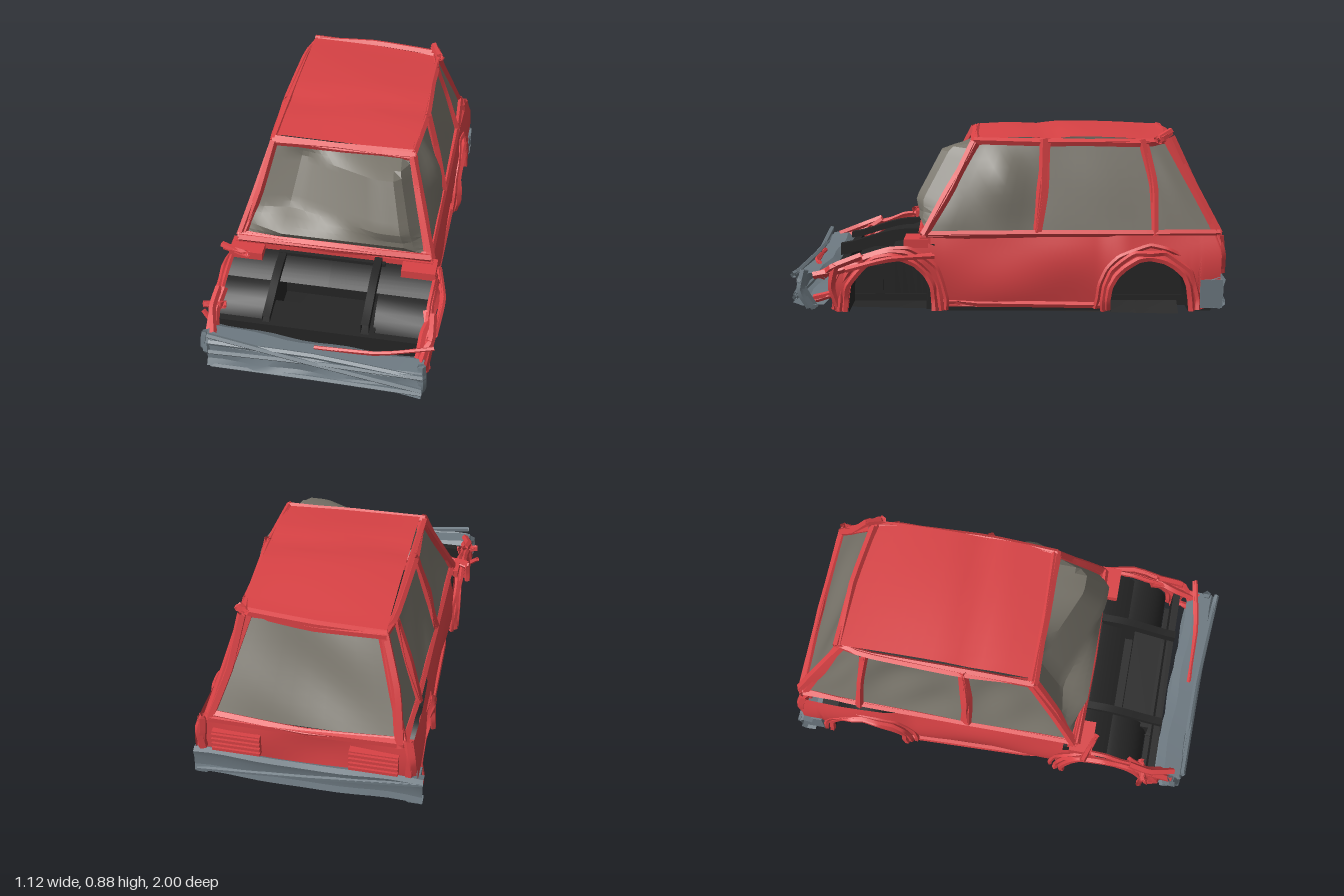
import * as THREE from 'three';
import { toCreasedNormals } from 'three/addons/utils/BufferGeometryUtils.js';

export function createModel() {
  const car = new THREE.Group();
  car.name = 'wreckedHatchback';
  const paint = (name, color) => {
    const m = new THREE.MeshStandardMaterial({ color, side: THREE.DoubleSide });
    m.name = name;
    return m;
  };
  const red = paint('redPaint', 0xd94245), glass = paint('dustyGlass', 0x78746a);
  const steel = paint('greySteel', 0x6d7981), black = paint('blackUnderbody', 0x252525);

  let seed = 7;
  const rnd = () => (seed = (seed * 16807) % 2147483647) / 2147483647 - 0.5;
  const { lerp, clamp, smoothstep } = THREE.MathUtils;
  const V = (p) => new THREE.Vector3(...p);

  const add = (name, geo, mat, crease = 0.5) => {
    const mesh = new THREE.Mesh(toCreasedNormals(geo, crease), mat);
    mesh.name = name;
    car.add(mesh);
    return mesh;
  };
  // Grid surface from a rule f(u, v) -> [x, y, z]
  const sheet = (name, mat, nu, nv, f, crease) => {
    const pos = [], idx = [];
    for (let i = 0; i <= nu; i++) for (let j = 0; j <= nv; j++) pos.push(...f(i / nu, j / nv));
    for (let i = 0; i < nu; i++) for (let j = 0; j < nv; j++) {
      const a = i * (nv + 1) + j, b = a + nv + 1;
      idx.push(a, b, a + 1, b, b + 1, a + 1);
    }
    const g = new THREE.BufferGeometry();
    g.setAttribute('position', new THREE.Float32BufferAttribute(pos, 3));
    g.setIndex(idx);
    return add(name, g, mat, crease);
  };
  // Bent metal strip along a few points, made of jittered strands
  const strip = (name, mat, pts, r = 0.02, strands = 2, jit = 0.02) => {
    for (let s = 0; s < strands; s++) {
      const p = pts.map((q) => V(q).add(new THREE.Vector3(rnd(), rnd(), rnd()).multiplyScalar(jit)));
      const curve = new THREE.CatmullRomCurve3(p, false, 'catmullrom', 0.2);
      add(name, new THREE.TubeGeometry(curve, 4 * (pts.length - 1), r, 5), mat, 0.4);
    }
  };
  const box = (name, mat, x0, x1, y0, y1, z0, z1) => {
    const g = new THREE.BoxGeometry(Math.abs(x1 - x0), y1 - y0, z1 - z0);
    g.translate((x0 + x1) / 2, (y0 + y1) / 2, (z0 + z1) / 2);
    return add(name, g, mat);
  };
  // Four-corner panel (bottom a-b, top d-c) pushed out along its normal
  const panel = (name, mat, a, b, c, d, push, n = 10) => {
    const [A, B, C, D] = [a, b, c, d].map(V);
    const normal = B.clone().sub(A).cross(D.clone().sub(A)).normalize();
    return sheet(name, mat, n, n, (u, v) => A.clone().lerp(B, u)
      .lerp(D.clone().lerp(C, u), v).addScaledVector(normal, push(u, v)).toArray());
  };

  // Wheel arches: centre z and radius
  const arches = [[0.545, 0.19], [-0.645, 0.18]];
  const lowerEdge = (z) => {
    for (const [c, r] of arches) {
      const d = Math.abs(z - c);
      if (d < r) return 0.11 + Math.sqrt(r * r - d * d);
    }
    return z < -0.875 ? 0.19 : 0.07;
  };
  const upperEdge = (z) => (z < 0.4 ? 0.405 : lerp(0.375, 0.26, clamp((z - 0.4) / 0.4, 0, 1)));

  for (const s of [-1, 1]) {
    const side = s > 0 ? 'left' : 'right';
    // Body side with wheel cut-outs
    sheet(side + 'BodySide', red, 120, 8, (u, v) => {
      const z = lerp(-0.965, 0.81, u), low = lowerEdge(z), y = lerp(low, Math.max(low, upperEdge(z)), v);
      const dent = 0.008 * Math.sin(z * 9 + s) * Math.sin(y * 14);
      const wide = 0.025 * (smoothstep(z, 0.3, 0.6) + smoothstep(-z, 0.4, 0.55));
      return [s * (0.447 + 0.033 * Math.sin(Math.PI * clamp((0.42 - y) / 0.4, 0, 1)) + dent + wide), y, z];
    }, 0.7);

    // Arch lips and inner tubs
    arches.forEach(([c, r], k) => {
      const end = k ? 'rear' : 'front';
      const arc = (rad, a) => {
        const t = Math.PI * a;
        return [0.11 + rad * Math.sin(t), c + rad * Math.cos(t)];
      };
      [[0.012, 0.5, 0.016], [0.04, 0.497, 0.014], [0.064, 0.482, 0.012]].forEach(([grow, x, t]) => {
        const pts = [];
        for (let i = 0; i <= 10; i++) {
          const [y, z] = arc(r + grow, i / 10);
          pts.push([s * x, Math.min(y, upperEdge(z) + 0.01), z]);
        }
        strip(side + end + 'ArchLip', red,
          [[s * x, 0.06, c + r + grow], ...pts, [s * x, 0.06, c - r - grow]], t, 1, 0.014);
      });
      const tubPoint = (a) => (a < 0.1 ? [0.05, c + r] : a > 0.9 ? [0.05, c - r] : arc(r, (a - 0.1) / 0.8));
      sheet(side + end + 'WheelTub', black, 20, 1, (u, v) => {
        const [y, z] = tubPoint(u);
        return [s * lerp(0.24, 0.485, v), y, z];
      }, 0.6);
      sheet(side + end + 'TubWall', black, 20, 1, (u, v) => {
        const [y, z] = tubPoint(u);
        return [s * 0.24, lerp(0.05, y, v), z];
      });
    });

    // Window frame
    const A0 = [s * 0.45, 0.4, 0.385], A1 = [s * 0.325, 0.82, 0.16];
    const B0 = [s * 0.453, 0.41, -0.14], B1 = [s * 0.34, 0.825, -0.175];
    const C0 = [s * 0.45, 0.41, -0.675], C1 = [s * 0.335, 0.82, -0.625];
    const D0 = [s * 0.435, 0.41, -0.96], D1 = [s * 0.31, 0.83, -0.735];
    strip(side + 'FrontPillar', red, [A0, [s * 0.39, 0.6, 0.28], A1], 0.02, 3, 0.025);
    strip(side + 'MiddlePillar', red, [B0, [s * 0.402, 0.6, -0.15], B1], 0.021, 3, 0.03);
    strip(side + 'DoorRearPillar', red, [C0, [s * 0.392, 0.62, -0.66], C1], 0.018, 2, 0.025);
    strip(side + 'RearPillar', red, [D0, [s * 0.373, 0.62, -0.85], D1], 0.022, 3, 0.03);
    strip(side + 'RoofRail', red, [A1, B1, C1, D1], 0.018, 2);
    strip(side + 'BeltLine', red, [A0, B0, C0, D0], 0.017, 2, 0.015);

    // Buckled side glass, pushed out on the left and in on the right
    const bulge = (k) => (u, v) => k * Math.sin(Math.PI * u) * Math.sin(Math.PI * v)
      * (1 + 0.5 * Math.sin(u * 7 + v * 5 + s));
    panel(side + 'FrontDoorGlass', glass, A0, B0, B1, A1, bulge(s > 0 ? 0.04 : 0.025));
    panel(side + 'RearDoorGlass', glass, B0, C0, C1, B1, bulge(s > 0 ? 0.005 : 0.03));
    panel(side + 'QuarterGlass', glass, C0, D0, D1, C1, bulge(0.006));

    // Cowl corner, sill and torn fender ends
    box(side + 'CowlCorner', red, s * 0.33, s * 0.49, 0.35, 0.39, 0.37, 0.48);
    strip(side + 'Sill', red, [[s * 0.465, 0.08, 0.33], [s * 0.468, 0.072, -0.44]], 0.015, 1);
    strip(side + 'TornFender', red, [[s * 0.49, 0.31, 0.66], [s * 0.5, 0.275, 0.78], [s * 0.47, 0.22, 0.88]], 0.018, 3, 0.05);
    strip(side + 'TornFender', red, [[s * 0.5, 0.27, 0.78], [s * 0.49, 0.17, 0.81], [s * 0.48, 0.07, 0.78]], 0.018, 2, 0.03);
    strip(side + 'TornFender', red, [[s * 0.47, 0.14, 0.79], [s * 0.46, 0.11, 0.9]], 0.014, 2, 0.03);

    // Tail lamp block with ribs
    box(side + 'TailLamp', red, s * 0.2, s * 0.42, 0.24, 0.345, -0.985, -0.94);
    for (let i = 0; i < 4; i++)
      box(side + 'TailLampRib', red, s * 0.2, s * 0.42, 0.245 + i * 0.026, 0.26 + i * 0.026, -0.997, -0.98);
    strip(side + 'RearCorner', red, [[s * 0.455, 0.41, -0.95], [s * 0.475, 0.33, -0.965], [s * 0.475, 0.23, -0.96]], 0.022, 2);
  }
  // Bent body shards
  strip('leftFenderShard', red, [[0.5, 0.31, 0.35], [0.54, 0.3, 0.56], [0.52, 0.26, 0.74]], 0.012, 2);
  strip('rightFenderShard', red, [[-0.45, 0.27, 0.72], [-0.54, 0.285, 0.75]], 0.016, 2);
  strip('rightFenderShard', red, [[-0.48, 0.14, 0.78], [-0.55, 0.23, 0.74]], 0.012, 1);
  strip('rightCowlShard', red, [[-0.4, 0.385, 0.49], [-0.53, 0.385, 0.44]], 0.015, 2);
  strip('rightSillShard', red, [[-0.44, 0.05, 0.3], [-0.45, 0.045, -0.1], [-0.45, 0.06, -0.42]], 0.014, 1);
  strip('noseShard', red, [[0.53, 0.29, 0.86], [0.3, 0.262, 0.9], [0, 0.25, 0.9]], 0.009, 2);

  // Sagging roof skin with header rails
  sheet('roof', red, 12, 16, (u, v) => {
    const crown = 0.025 * Math.sin(Math.PI * clamp(v * 1.05, 0, 1)) * (0.6 + 0.4 * Math.sin(Math.PI * u));
    const crease = -0.012 * Math.max(0, 1 - Math.abs(v - 0.3 - 0.1 * u) * 8);
    return [lerp(-0.315, 0.34, u), 0.84 + crown + crease - 0.014 * (u - 0.4),
      lerp(0.145, -0.745, v) + 0.06 * (u - 0.5) * v];
  }, 0.25);
  strip('frontHeader', red, [[-0.33, 0.825, 0.16], [0, 0.82, 0.165], [0.33, 0.815, 0.155]], 0.02, 3);
  strip('rearHeader', red, [[-0.31, 0.835, -0.755], [0, 0.83, -0.75], [0.31, 0.83, -0.72]], 0.019, 2);
  strip('roofShard', red, [[0.35, 0.82, -0.68], [0.3, 0.865, -0.75]], 0.016, 2);

  // Windscreen: caved in on the right, popped out of its frame on the left
  sheet('windscreen', glass, 20, 16, (u, v) => {
    const half = lerp(0.43, 0.31, v);
    const across = u < 0.22 ? lerp(0, -0.03, u / 0.22) : lerp(-0.03, 0.12, Math.min(1, (u - 0.22) / 0.55));
    const low = 0.065 * Math.min(1, u / 0.2);
    const out = lerp(low, across, smoothstep(v, 0.12, 0.35)) * Math.min(1, (1 - u) / 0.07, v / 0.12, (1 - v) / 0.1);
    return [lerp(-half, half, u), lerp(0.42, 0.81, v) + 0.1 * out, lerp(0.38, 0.17, v) + out];
  }, 0.3);
  strip('windscreenBase', red, [[-0.46, 0.405, 0.39], [0, 0.415, 0.395], [0.45, 0.41, 0.385]], 0.02, 3, 0.03);
  panel('rearGlass', glass, [0.42, 0.42, -0.95], [-0.42, 0.42, -0.95], [-0.31, 0.82, -0.74], [0.31, 0.82, -0.74],
    (u, v) => 0.022 * Math.sin(Math.PI * u) * Math.sin(Math.PI * v) * Math.sin(u * 6 + v * 3));

  // Tailgate
  sheet('tailgate', red, 16, 6, (u, v) => [lerp(-0.465, 0.465, u), lerp(0.18, 0.42, v),
    -0.955 - 0.012 * Math.sin(Math.PI * v) * Math.cos(u * 8)], 0.6);
  strip('tailgateTop', red, [[-0.44, 0.415, -0.955], [0, 0.415, -0.965], [0.44, 0.415, -0.955]], 0.02, 2);

  // Engine bay
  box('cowl', red, -0.47, 0.47, 0.365, 0.395, 0.36, 0.41);
  box('firewall', black, -0.47, 0.47, 0.06, 0.365, 0.34, 0.38);
  box('bayBar', black, -0.26, 0.25, 0.335, 0.372, 0.4, 0.43);
  sheet('bayShelf', black, 2, 8, (u, v) => [lerp(-0.48, 0.48, u), 0.2 + 0.16 * Math.cos(v * 0.9), 0.39 + 0.165 * v], 0.8);
  box('bayCrossMember', black, -0.26, 0.25, 0.1, 0.22, 0.6, 0.74);
  box('radiatorSupport', black, -0.47, 0.47, 0.08, 0.25, 0.765, 0.8);
  // Hood struts of square section
  for (const [name, x, h] of [['rightStrut', -0.24, 0.03], ['leftStrut', 0.215, 0.055]]) {
    sheet(name, black, 4, 8, (u, v) => {
      const w = [[-1, 0], [1, 0], [1, 1], [-1, 1], [-1, 0]][Math.round(u * 4)];
      return [x + w[0] * 0.018, 0.34 - 0.075 * smoothstep(v, 0.2, 1.1) + w[1] * h, lerp(0.41, 0.8, v)];
    });
  }

  // Underbody
  const pan = box('floorPan', black, -0.26, 0.25, 0.03, 0.08, -0.85, 0.8);
  pan.rotation.x = -0.004;
  box('cabinFloor', black, -0.455, 0.455, 0.05, 0.075, -0.46, 0.35);
  box('bootFloor', black, -0.455, 0.455, 0.05, 0.075, -0.93, -0.825);
  box('noseFloor', black, -0.45, 0.45, 0.05, 0.075, 0.74, 0.8);
  sheet('floorFlap', black, 1, 8, (u, v) => [lerp(0.25, 0.33, u),
    lerp(0.05, lerp(0.04, 0.003, v), u), lerp(0.8, -0.8, v)]);

  // Crumpled bumpers: channel section swept across the car
  const bumper = (name, section, bend) => sheet(name, steel, 14, section.length - 1, (u, v) => {
    const [y, z] = section[Math.round(v * (section.length - 1))];
    return bend(u, y, z);
  }, 0.3);
  bumper('frontBumper', [[0.22, 0.8], [0.25, 0.84], [0.245, 0.92], [0.22, 0.935], [0.2, 0.915], [0.12, 0.925], [0.09, 0.94], [0.075, 0.9], [0.08, 0.8]],
    (u, y, z) => [lerp(-0.49, 0.5, u), lerp(y, 0.165 + (y - 0.165) * 0.75, Math.sin(Math.PI * u)) + 0.015 * (u - 0.3) * (y < 0.15 ? 1 : -1),
      z + 0.045 * u + 0.006 * Math.sin(u * 17 + y * 30)]);
  for (const [a, b] of [[0.265, 0.13], [0.235, 0.225], [0.085, 0.125], [0.16, 0.23]])
    strip('frontBumperFold', steel, [[-0.48, a, 0.93], [0, (a + b) / 2 + 0.005, 0.95], [0.5, b, 0.98]], 0.013, 1, 0.015);
  for (const s of [-1, 1]) {
    const z = 0.91 + s * 0.025;
    strip('frontBumperEnd', steel, [[s * 0.49, 0.25, z], [s * 0.5, 0.17, z + 0.02], [s * 0.48, 0.08, z - 0.03]], 0.02, 2, 0.03);
    // Rear bumper ends wrapping round the corner
    box('rearBumperEnd', steel, s * 0.46, s * 0.512, 0.075, 0.205, -0.975, -0.875);
  }
  bumper('rearBumper', [[0.2, -0.92], [0.215, -0.965], [0.205, -0.99], [0.17, -0.98], [0.12, -0.98], [0.09, -0.99], [0.07, -0.965], [0.075, -0.92]],
    (u, y, z) => [lerp(-0.53, 0.515, u), y + 0.008 * Math.sin(u * 9), z + 0.004 * Math.sin(u * 15)]);
  strip('rearBumperFold', steel, [[-0.53, 0.2, -0.98], [0, 0.15, -0.985], [0.5, 0.1, -0.98]], 0.01, 2, 0.012);

  return car;
}
